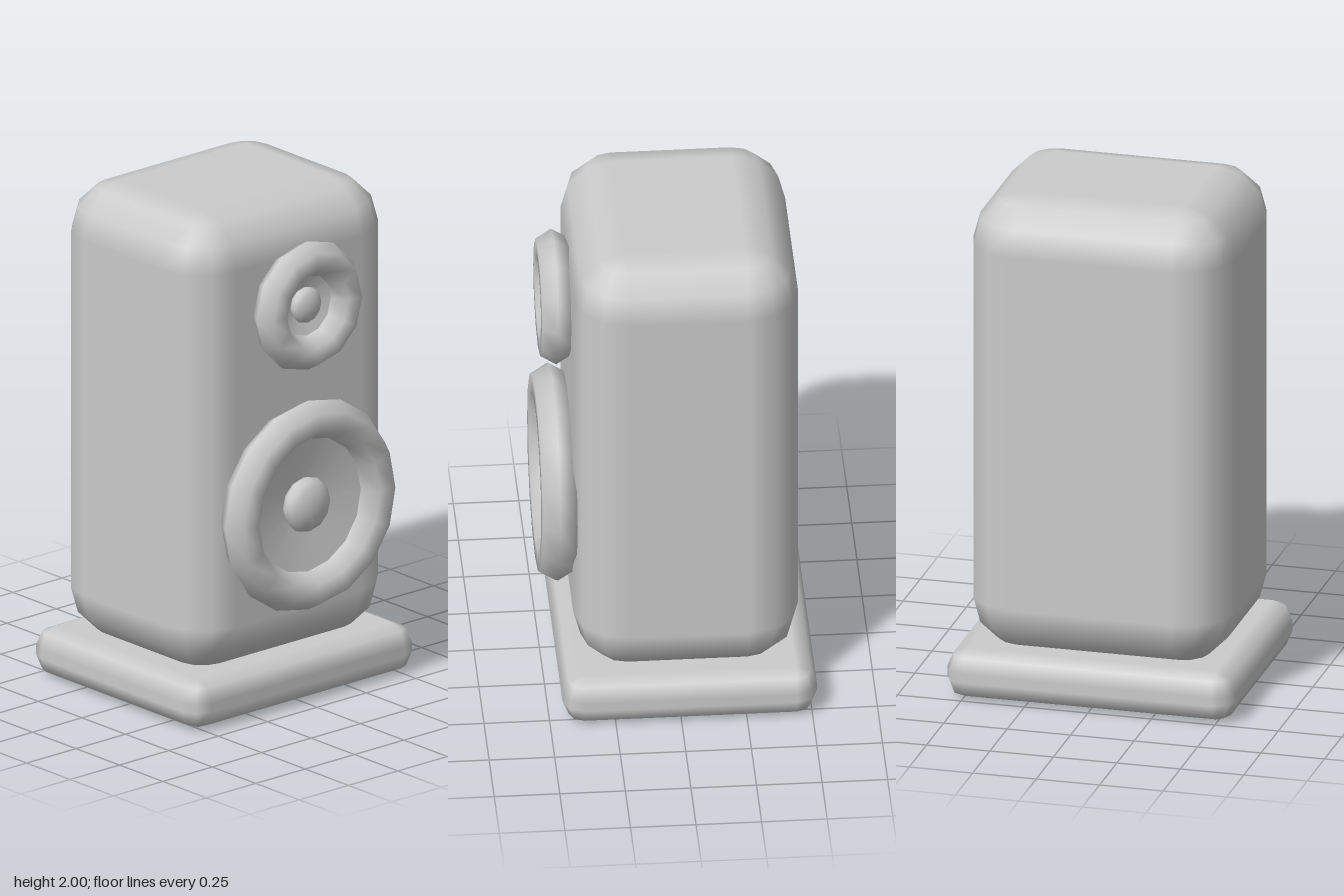
import * as THREE from 'three';

const material = new THREE.MeshStandardMaterial({ color: 0xcccccc, side: THREE.DoubleSide });

function addMesh(parent, name, geometry, x = 0, y = 0, z = 0) {
  const mesh = new THREE.Mesh(geometry, material);
  mesh.name = name;
  mesh.position.set(x, y, z);
  parent.add(mesh);
  return mesh;
}

// Box with every edge and corner rounded by n segments, built as stacked rounded rings
function roundedBox(w, h, d, r, n) {
  const pos = [], nor = [], idx = [];
  const ringSize = 4 * (n + 1), rings = 2 * (n + 1);
  for (let i = 0; i < rings; i++) {
    const top = i > n;
    const lat = ((top ? i - n - 1 : i - n) / n) * Math.PI / 2;
    for (let c = 0; c < 4; c++) {
      const sx = c === 0 || c === 3 ? 1 : -1, sz = c < 2 ? 1 : -1;
      for (let k = 0; k <= n; k++) {
        const a = (c + k / n) * Math.PI / 2;
        const nx = Math.cos(lat) * Math.cos(a), ny = Math.sin(lat), nz = Math.cos(lat) * Math.sin(a);
        pos.push(sx * (w / 2 - r) + r * nx, (top ? 1 : -1) * (h / 2 - r) + r * ny, sz * (d / 2 - r) + r * nz);
        nor.push(nx, ny, nz);
      }
    }
  }
  for (let i = 0; i < rings - 1; i++) {
    for (let j = 0; j < ringSize; j++) {
      const a = i * ringSize + j, b = i * ringSize + (j + 1) % ringSize;
      idx.push(a, a + ringSize, b, b, a + ringSize, b + ringSize);
    }
  }
  // Flat bottom and top: the end rings shrink to plain rectangles
  const s = n + 1, t = (rings - 1) * ringSize;
  idx.push(0, s, 2 * s, 0, 2 * s, 3 * s, t, t + 2 * s, t + s, t, t + 3 * s, t + 2 * s);
  const geo = new THREE.BufferGeometry();
  geo.setAttribute('position', new THREE.Float32BufferAttribute(pos, 3));
  geo.setAttribute('normal', new THREE.Float32BufferAttribute(nor, 3));
  geo.setIndex(idx);
  return geo;
}

// Driver: surround ring, shallow concave cone and flattened dust cap
function makeDriver(name, y, z, ringRadius, tube, sides, capRadius) {
  const driver = new THREE.Group();
  driver.name = name;
  driver.position.set(0, y, z);
  addMesh(driver, name + 'Surround', new THREE.TorusGeometry(ringRadius, tube, 6, sides));
  const profile = [new THREE.Vector2(0, -0.04), new THREE.Vector2(capRadius * 0.7, -0.04), new THREE.Vector2(ringRadius, 0.01)];
  const cone = new THREE.LatheGeometry(profile, sides);
  cone.rotateX(Math.PI / 2);
  addMesh(driver, name + 'Cone', cone);
  const cap = new THREE.SphereGeometry(capRadius, 12, 8);
  cap.rotateX(Math.PI / 2);
  cap.scale(1, 1, 0.5);
  addMesh(driver, name + 'DustCap', cap, 0, 0, -0.01);
  return driver;
}

export function createModel() {
  const speaker = new THREE.Group();
  speaker.name = 'speaker';

  // Plinth and cabinet
  addMesh(speaker, 'base', roundedBox(1.14, 0.195, 0.97, 0.08, 2), 0, 0.0975, -0.035);
  addMesh(speaker, 'cabinet', roundedBox(1.03, 1.83, 0.857, 0.2, 3), 0, 1.085, -0.033);

  // Drivers on the front
  speaker.add(makeDriver('woofer', 0.802, 0.45, 0.344, 0.077, 16, 0.11));
  speaker.add(makeDriver('tweeter', 1.605, 0.446, 0.19, 0.069, 12, 0.072));
  return speaker;
}
